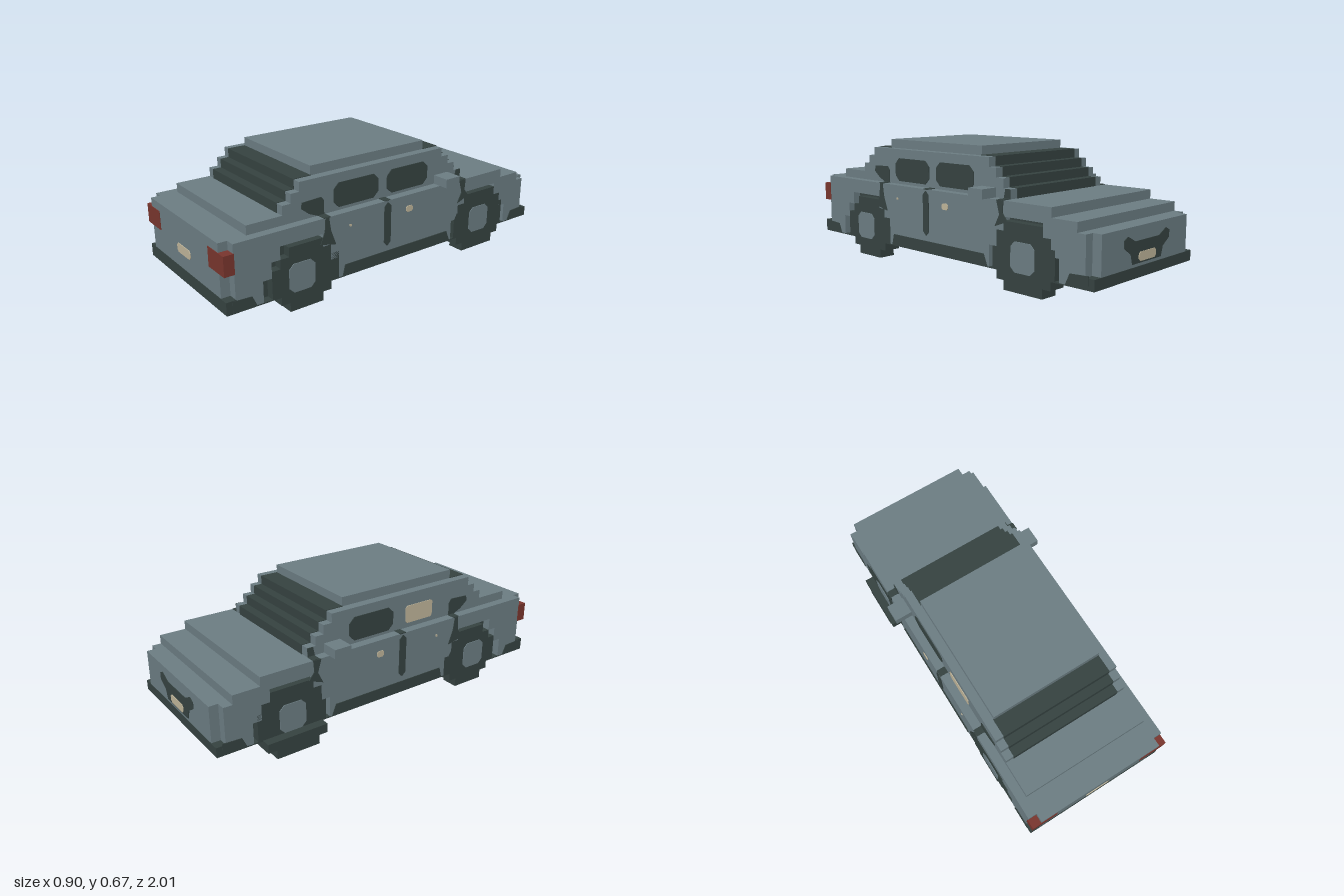
import * as THREE from 'three';

const V = 1 / 21; // block size
const mat = (name, color) => Object.assign(new THREE.MeshStandardMaterial({ color }), { name });

export function createModel() {
  const car = new THREE.Group();
  const paint = mat('grey paint', 0x6b7c82);
  const dark = mat('dark trim', 0x354240);
  const red = mat('red lamp', 0x78352d);
  const tan = mat('tan', 0xbdb398);

  const add = (name, geo, material) => {
    const m = new THREE.Mesh(geo, material);
    m.name = name;
    car.add(m);
    return m;
  };
  // box from block-unit limits, grown by g
  const block = (name, x0, x1, y0, y1, z0, z1, material, g = 0) => {
    const geo = new THREE.BoxGeometry((x1 - x0) * V + 2 * g, (y1 - y0) * V + 2 * g, (z1 - z0) * V + 2 * g);
    geo.translate((x0 + x1) * V / 2, (y0 + y1) * V / 2, (z0 + z1) * V / 2);
    return add(name, geo, material);
  };
  const shapeOf = pts => new THREE.Shape(pts.map(p => new THREE.Vector2(p[0], p[1])));
  // side profile [z, y] extruded between x0 and x1
  const profile = (name, pts, x0, x1, material) => {
    const geo = new THREE.ExtrudeGeometry(shapeOf(pts), { depth: x1 - x0, bevelEnabled: false });
    geo.rotateY(-Math.PI / 2).translate(x1, 0, 0);
    return add(name, geo, material);
  };
  // thin painted plate on a side surface at |x|
  const decal = (name, pts, x, side, material, t = 0.004) =>
    profile(name, pts, side > 0 ? x - 0.002 : -x - t, side > 0 ? x + t : -x + 0.002, material);
  // thin painted plate [x, y] on an end surface
  const endPlate = (name, pts, dir, material, t) => {
    const geo = new THREE.ExtrudeGeometry(shapeOf(pts), { depth: t, bevelEnabled: false });
    geo.translate(0, 0, dir > 0 ? 1 : -1 - t);
    return add(name, geo, material);
  };
  // rectangle with clipped corners
  const clipped = (a, b, c, d, r) => [
    [a + r, c], [b - r, c], [b, c + r], [b, d - r], [b - r, d], [a + r, d], [a, d - r], [a, c + r]];
  const scale = pts => pts.map(p => [p[0] * V, p[1] * V]);

  // lower body with stepped bonnet
  profile('bodyCore', scale([[21, 2], [21, 9], [-16, 9], [-16, 8], [-19, 8], [-19, 7], [-21, 7], [-21, 2]]),
    -7.5 * V, 7.5 * V, paint);
  block('floor', -8.5, 8.5, 1.9, 2.03, -21, 21, dark);

  // flanks with stepped wheel arches
  const arch = s => [[8, 2], [8, 4.3], [9, 4.3], [9, 6], [10, 6], [10, 7.4],
    [15, 7.4], [15, 6], [16, 6], [16, 4.3], [17, 4.3], [17, 2]].map(p => [s * p[0], p[1]]);
  const flank = scale([[20, 2], [20, 9], [-16, 9], [-16, 8], [-19, 8], [-19, 7], [-20, 7], [-20, 2],
    ...arch(-1).reverse(), ...arch(1)]);
  const X = 8.5 * V, CX = 7.5 * V;

  for (const s of [1, -1]) {
    const mx = (name, a, b, ...rest) => s > 0 ? block(name, a, b, ...rest) : block(name, -b, -a, ...rest);
    profile('flank', flank, s > 0 ? CX : -X, s > 0 ? X : -CX, paint);

    // sills and bumper returns
    decal('sill', [[0.36, 0.095], [0.345, 0.155], [-0.345, 0.155], [-0.37, 0.095]], X, s, dark);
    decal('bumperReturn', [[0.97, 0.095], [0.97, 0.155], [0.87, 0.15], [0.845, 0.095]], X, s, dark);
    decal('bumperReturn', [[-0.97, 0.095], [-0.97, 0.155], [-0.87, 0.15], [-0.845, 0.095]], X, s, dark);

    // door seam, pillar streaks and handle
    decal('doorSeam', clipped(0.055, 0.098, 0.185, 0.42, 0.02), X, s, dark);
    decal('rearStreak', [[0.46, 0.4286], [0.44, 0.4286], [0.43, 0.36], [0.4, 0.28], [0.49, 0.3], [0.465, 0.36]], X, s, dark);
    decal('frontStreak', [[-0.43, 0.4286], [-0.475, 0.4286], [-0.47, 0.37], [-0.5, 0.33], [-0.42, 0.3], [-0.45, 0.36]], X, s, dark);
    decal('doorHandle', clipped(-0.092, -0.048, 0.337, 0.37, 0.008), X, s, tan);
    decal('lockDot', clipped(0.305, 0.317, 0.35, 0.362, 0.002), X, s, tan);
    for (const z of [1.6, 9.45, -9.6]) mx('seamTop', 7.5, 8.5, 8.95, 9.06, z - 0.4, z + 0.4, dark);

    // side windows
    decal('frontSideWindow', clipped(-0.23, 0.045, 0.445, 0.57, 0.03), CX, s, dark);
    if (s > 0) decal('rearSideWindow', clipped(0.102, 0.378, 0.445, 0.57, 0.03), CX, s, dark);
    else decal('rearSideWindow', clipped(0.13, 0.31, 0.455, 0.55, 0.01), CX, s, tan);
    decal('quarterWindow', [[0.435, 0.4286], [0.47, 0.4286], [0.52, 0.45], [0.565, 0.485], [0.56, 0.515],
      [0.45, 0.52], [0.435, 0.5]], CX, s, dark);
    decal('windscreenPost', [[-0.435, 0.4286], [-0.476, 0.4286], [-0.476, 0.476], [-0.445, 0.476]], CX, s, dark);

    // mirrors and tail lamps
    mx('mirror', 7.5, 9.5, 9, 10, -8, -6, paint);
    mx('tailLamp', 5.55, 8.5, 6, 8, 20, 21, red, 0.003);

    // wheels in stepped rows: [bottom, top, half width]
    for (const c of [12, -12.5]) {
      const front = c < 0, k = front ? 0.5 : 0;
      for (const [y0, y1, h] of [[0, 1, 2 + k], [1, 2, 3 + k], [2, 5, 4], [5, 6, 3 + k], [6, 7, 2 + k]]) {
        const out = front && s < 0 && y1 <= 2 ? 9.5 : 8.5;
        mx(front ? 'frontWheel' : 'rearWheel', 6.5, out, y0, y1, c - h, c + h, dark);
      }
      const hz = front ? -0.595 : 0.597;
      decal('hub', clipped(hz - 0.073, hz + 0.073, 0.097, 0.245, 0.025), X, s, paint);
      // dark lining inside the arch
      decal('archLining', scale(arch(front ? -1 : 1)), CX, s, dark);
    }
  }

  // bumpers
  block('rearBumper', -8.5, 8.5, 2, 3.3, 20, 21, dark, 0.002);
  block('frontBumper', -8.5, 8.5, 2, 3, -21, -20, dark, 0.002);

  // stepped cabin: [bottom, back of bonnet side, boot side]
  const layers = [[9, -10, 18], [10, -9, 14], [11, -8, 13], [12, -7, 12]];
  for (const [y, z0, z1] of layers) {
    block('cabin', -7.5, 7.5, y, y + 1, z0, z1, paint);
    block('windscreen', -6.5, 6.5, y, y + 1, z0, z0 + 2, dark, 0.003);
    if (y > 9) block('rearWindow', -6.5, 6.5, y, y + 1, z1 - 2, z1, dark, 0.003);
  }
  block('roof', -6.5, 6.5, 13, 14, -5, 10, paint);

  // number plates and grille
  endPlate('rearPlate', clipped(-0.07, 0.07, 0.238, 0.286, 0.012), 1, tan, 0.004);
  endPlate('grille', [[-0.12, 0.16], [0.12, 0.16], [0.135, 0.21], [0.19, 0.245], [0.19, 0.28], [0.16, 0.295],
    [0.1, 0.265], [-0.1, 0.265], [-0.16, 0.295], [-0.19, 0.28], [-0.19, 0.245], [-0.135, 0.21]], -1, dark, 0.003);
  endPlate('frontPlate', clipped(-0.072, 0.072, 0.168, 0.212, 0.012), -1, tan, 0.006);

  return car;
}
